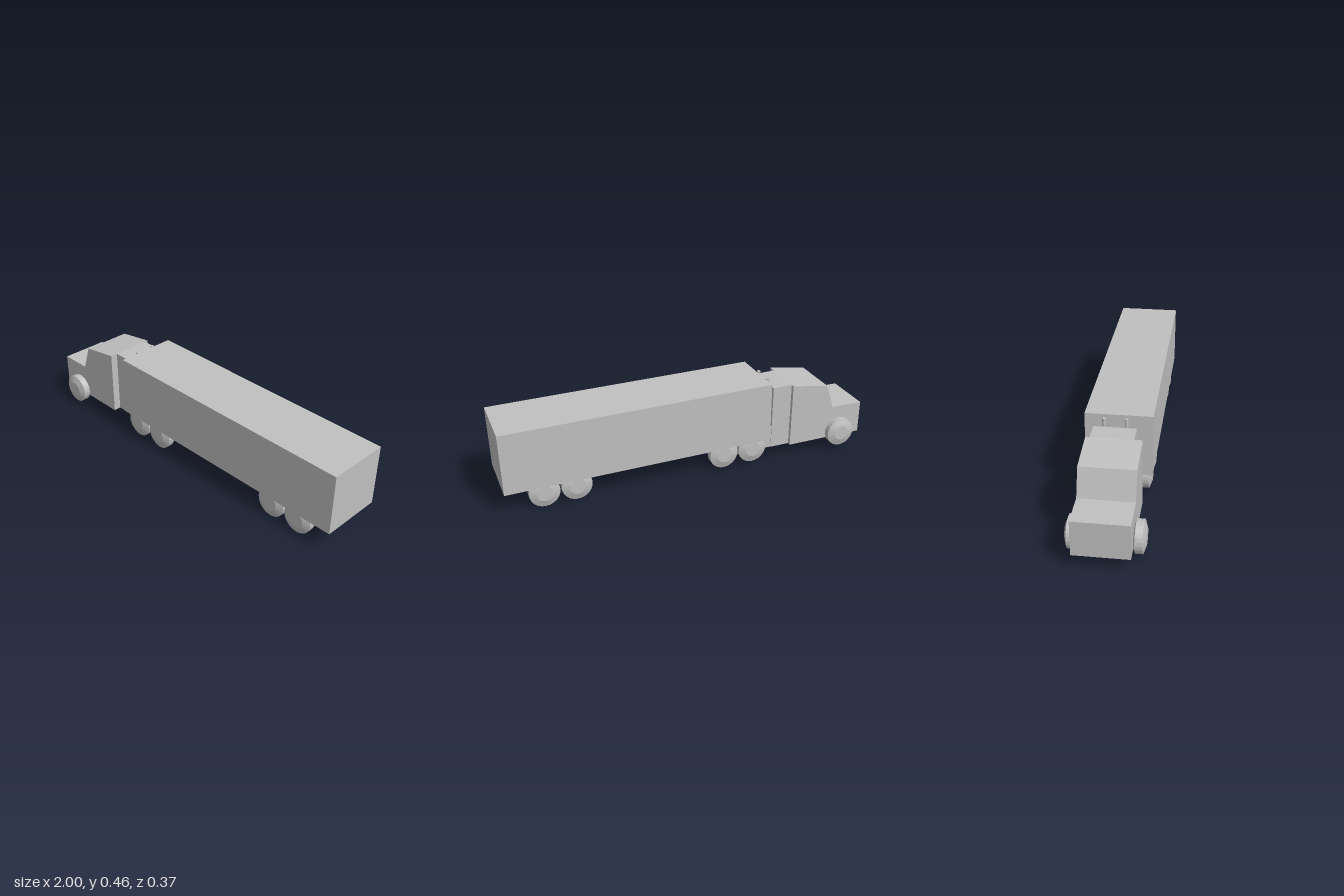
import * as THREE from 'three';

export function createModel() {
  const model = new THREE.Group();
  model.name = 'semiTruck';
  const grey = new THREE.MeshStandardMaterial({ color: 0xc0c0c0, flatShading: true });
  grey.name = 'plain grey';

  const add = (name, geometry, x = 0, y = 0, z = 0) => {
    const mesh = new THREE.Mesh(geometry, grey);
    mesh.name = name;
    mesh.position.set(x, y, z);
    model.add(mesh);
    return mesh;
  };

  // Side profile (x, y) extruded between two z positions
  const slab = (name, points, zMin, zMax) => {
    const shape = new THREE.Shape(points.map(([x, y]) => new THREE.Vector2(x, y)));
    const geometry = new THREE.ExtrudeGeometry(shape, { depth: zMax - zMin, bevelEnabled: false });
    return add(name, geometry, 0, 0, zMin);
  };

  // Cab with bonnet and raked windscreen
  slab('cab', [
    [-1, 0.071], [-0.57, 0.066], [-0.57, 0.418],
    [-0.777, 0.387], [-0.825, 0.25], [-1, 0.25],
  ], -0.14, 0.127);

  // Narrower sleeper behind the cab
  slab('sleeper', [
    [-0.57, 0.066], [-0.463, 0.065], [-0.463, 0.416], [-0.57, 0.418],
  ], -0.12, 0.087);

  // Chassis with a sloping tail under the trailer
  slab('chassis', [
    [-0.463, 0.065], [-0.155, 0.058], [-0.28, 0.18], [-0.463, 0.19],
  ], -0.117, 0.087);

  // Exhaust stacks
  for (const z of [-0.07, 0.037]) {
    const stack = add('exhaustStack', new THREE.CylinderGeometry(0.009, 0.009, 0.275, 12), -0.452, 0.318, z);
    stack.rotation.z = -0.0135;
  }

  // Trailer box, sitting slightly nose-up
  const trailer = add('trailer', new THREE.BoxGeometry(1.427, 0.324, 0.33), 0.285, 0.292, -0.0055);
  trailer.rotation.set(0, 0.0035, -0.0135);

  // Wheels with sloping sides and a flat hub on each face
  const wheelGeometry = new THREE.LatheGeometry([
    [0, -0.031], [0.042, -0.031], [0.079, -0.018],
    [0.079, 0.018], [0.042, 0.031], [0, 0.031],
  ].map(([r, h]) => new THREE.Vector2(r, h)), 24);
  wheelGeometry.rotateX(Math.PI / 2);

  const axles = [
    ['frontWheel', -0.868, 0.102, 0.152, -0.152],
    ['driveWheel', -0.335, 0.098, 0.123, -0.132],
    ['driveWheel', -0.17, 0.095, 0.123, -0.132],
    ['trailerWheel', 0.63, 0.084, 0.119, -0.131],
    ['trailerWheel', 0.795, 0.08, 0.119, -0.131],
  ];
  for (const [name, x, y, zLeft, zRight] of axles) {
    for (const z of [zLeft, zRight]) add(name, wheelGeometry, x, y, z);
  }

  return model;
}
